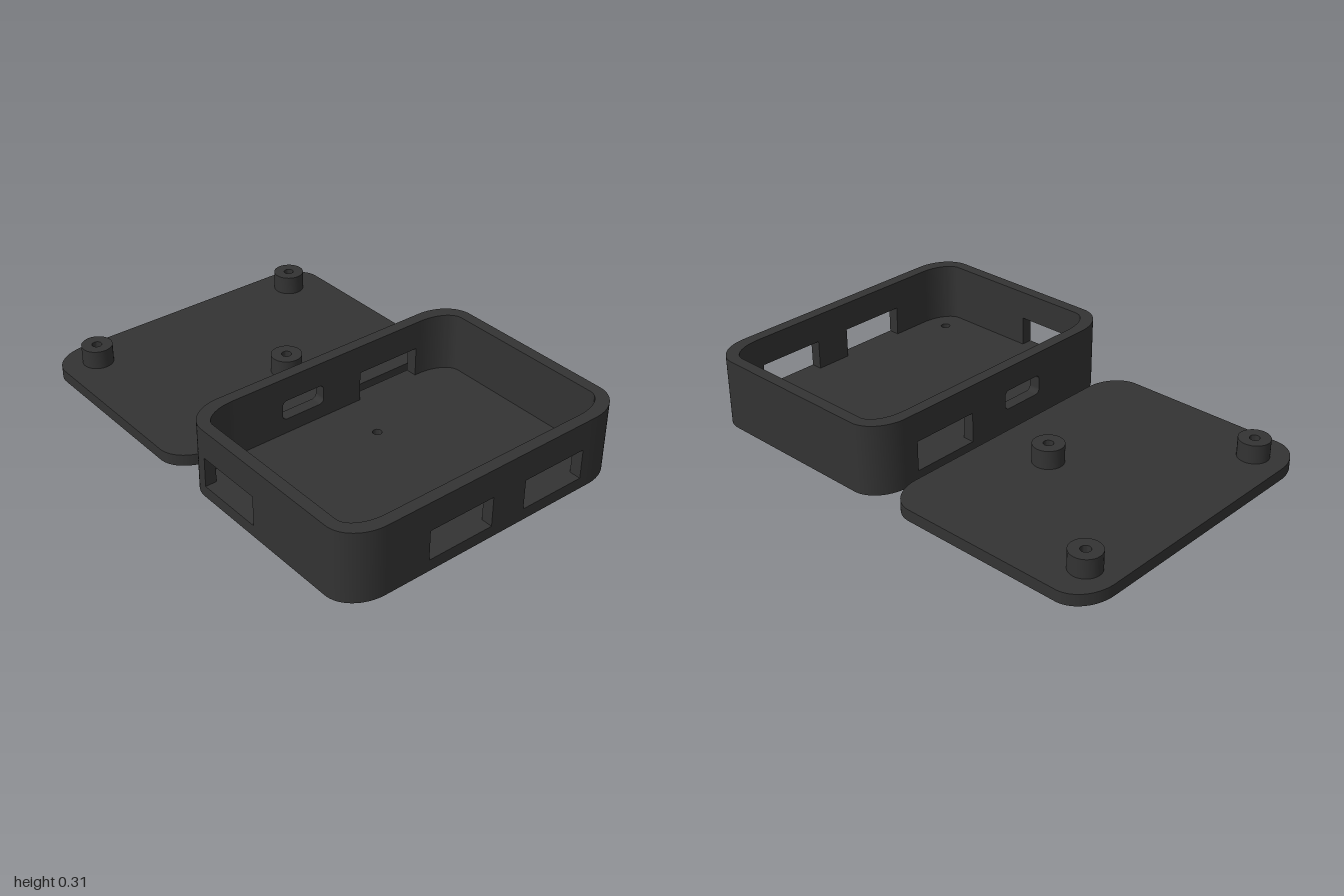
import * as THREE from 'three';
import { toCreasedNormals } from 'three/addons/utils/BufferGeometryUtils.js';

const HX = 0.675, HZ = 0.49;      // outer half width and half depth
const RX = 0.165, RZ = 0.13;      // outer corner radii
const WALL = 0.05, HEIGHT = 0.305, FLOOR = 0.05;
const IX = HX - WALL, IZ = HZ - WALL;
const IRX = 0.15, IRZ = 0.085;    // inner corner radii
const ZC = 0.51;                  // distance of both halves from the centre

// rounded rectangle with elliptical corners
function roundedRect(hx, hz, rx, rz) {
  const s = new THREE.Shape();
  s.moveTo(hx, -hz + rz);
  s.lineTo(hx, hz - rz);
  s.absellipse(hx - rx, hz - rz, rx, rz, 0, Math.PI / 2);
  s.absellipse(-hx + rx, hz - rz, rx, rz, Math.PI / 2, Math.PI);
  s.absellipse(-hx + rx, -hz + rz, rx, rz, Math.PI, Math.PI * 1.5);
  s.absellipse(hx - rx, -hz + rz, rx, rz, Math.PI * 1.5, Math.PI * 2);
  return s;
}

// box-shaped opening, with optional rounded corners
function opening(x0, x1, y0, y1, r = 0) {
  const p = new THREE.Path();
  if (!r) {
    return p.setFromPoints([[x0, y0], [x1, y0], [x1, y1], [x0, y1]].map(([x, y]) => new THREE.Vector2(x, y)));
  }
  p.moveTo(x0 + r, y0);
  p.lineTo(x1 - r, y0);
  p.absarc(x1 - r, y0 + r, r, -Math.PI / 2, 0);
  p.absarc(x1 - r, y1 - r, r, 0, Math.PI / 2);
  p.absarc(x0 + r, y1 - r, r, Math.PI / 2, Math.PI);
  p.absarc(x0 + r, y0 + r, r, Math.PI, Math.PI * 1.5);
  return p;
}

function extrude(shape, depth) {
  return new THREE.ExtrudeGeometry(shape, { depth, bevelEnabled: false, curveSegments: 16 });
}

// plan shape (x, z) raised from y = 0 to the given height
function raise(shape, height) {
  return toCreasedNormals(extrude(shape, height).rotateX(Math.PI / 2).translate(0, height, 0), 0.5);
}

// upright panel outline with its openings
function panel(u0, u1, openings) {
  const s = new THREE.Shape();
  s.moveTo(u0, 0);
  s.lineTo(u1, 0);
  s.lineTo(u1, HEIGHT);
  s.lineTo(u0, HEIGHT);
  s.closePath();
  s.holes.push(...openings);
  return extrude(s, WALL);
}

// curved wall corner for one quadrant
function cornerShape(sx, sz) {
  const pts = [], n = 16;
  pts.push([HX, IZ - IRZ]);
  for (let i = 0; i <= n; i++) {
    const a = (i / n) * Math.PI / 2;
    pts.push([HX - RX + RX * Math.cos(a), HZ - RZ + RZ * Math.sin(a)]);
  }
  pts.push([IX - IRX, HZ]);
  for (let i = n; i >= 0; i--) {
    const a = (i / n) * Math.PI / 2;
    pts.push([IX - IRX + IRX * Math.cos(a), IZ - IRZ + IRZ * Math.sin(a)]);
  }
  return new THREE.Shape(pts.map(([x, z]) => new THREE.Vector2(x * sx, z * sz)));
}

export function createModel() {
  const model = new THREE.Group();
  model.name = 'enclosure';
  const plastic = new THREE.MeshStandardMaterial({ color: 0x333333 });
  plastic.name = 'dark grey plastic';

  const tray = new THREE.Group();
  tray.name = 'tray';
  tray.position.z = ZC;
  const lid = new THREE.Group();
  lid.name = 'lid';
  lid.position.z = -ZC;
  model.add(tray, lid);

  const add = (parent, name, geometry) => {
    const m = new THREE.Mesh(geometry, plastic);
    m.name = name;
    parent.add(m);
    return m;
  };

  // floor with three screw holes
  const floor = roundedRect(IX, IZ, IRX, IRZ);
  for (const [x, z, r] of [[0.06, 0.29, 0.019], [-0.52, 0.85, 0.02], [0.51, 0.855, 0.026]]) {
    floor.holes.push(new THREE.Path().absarc(x, z - ZC, r, 0, Math.PI * 2));
  }
  add(tray, 'floor', raise(floor, FLOOR));

  // straight walls with connector openings
  const ex = IX - IRX, ez = IZ - IRZ;
  const port = () => opening(0.155, 0.457, FLOOR, 0.18);
  add(tray, 'frontWall', panel(-ex, ex, [opening(-0.31, -0.007, FLOOR, 0.18), port()]).translate(0, 0, IZ));
  add(tray, 'backWall', panel(-ex, ex, [opening(-0.24, -0.035, 0.115, 0.2, 0.022), port()]).translate(0, 0, -HZ));
  add(tray, 'rightWall', panel(-ez, ez, []).rotateY(-Math.PI / 2).translate(HX, 0, 0));
  add(tray, 'leftWall', panel(-ez, ez, [opening(0.16 - ZC, 0.46 - ZC, FLOOR, 0.18)])
    .rotateY(-Math.PI / 2).translate(-IX, 0, 0));

  // rounded corners
  for (const sx of [-1, 1]) {
    for (const sz of [-1, 1]) add(tray, 'wallCorner', raise(cornerShape(sx, sz), HEIGHT));
  }

  // lid plate and hollow screw posts
  add(lid, 'lidPlate', raise(roundedRect(HX, HZ, RX, RZ), FLOOR));
  for (const [x, z] of [[-0.52, -0.86], [0.51, -0.865], [0.06, -0.297]]) {
    const ring = new THREE.Shape().absarc(0, 0, 0.066, 0, Math.PI * 2);
    ring.holes.push(new THREE.Path().absarc(0, 0, 0.021, 0, Math.PI * 2));
    add(lid, 'screwPost', raise(ring, 0.081)).position.set(x, FLOOR, z + ZC);
  }
  return model;
}
